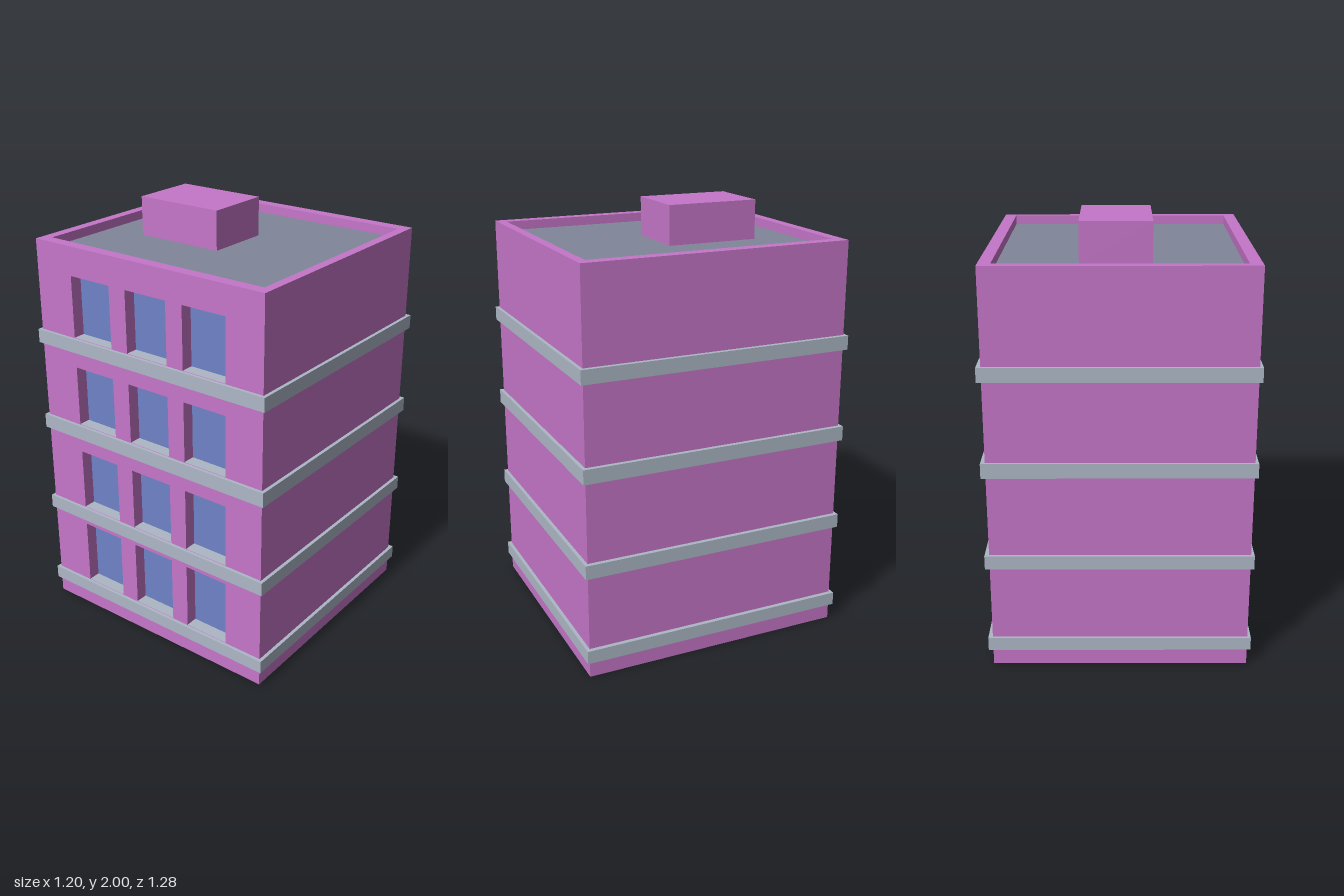
import * as THREE from 'three';

const mat = (name, color) => new THREE.MeshStandardMaterial({ name, color, side: THREE.DoubleSide });

// Plan outlines as [xMin, xMax, zMin, zMax]
const WALL = [-0.585, 0.58, -0.625, 0.622];
const LEDGE = [-0.6, 0.6, -0.638, 0.638];
const INNER = [-0.53, 0.525, -0.578, 0.58];
const BLOCK = [-0.142, 0.173, -0.385, 0.047];

const BANDS = [[0.08, 0.142], [0.495, 0.56], [0.935, 1.003], [1.37, 1.435]];
const LINTELS = [0.465, 0.862, 1.292, 1.727];
const WINDOWS = [-0.308, 0.008, 0.32]; // z centres
const HALF = 0.112, DEPTH = 0.058;
const TOP = 1.862, ROOF = 1.82;

// Corners in anticlockwise order seen from above
const corners = ([x0, x1, z0, z1], y) => [[x0, y, z1], [x1, y, z1], [x1, y, z0], [x0, y, z0]];

// Flat-shaded sheet from a list of four-cornered faces
function sheet(name, quads, material) {
  const pos = quads.flatMap(([a, b, c, d]) => [a, b, c, a, c, d].flat());
  const g = new THREE.BufferGeometry();
  g.setAttribute('position', new THREE.Float32BufferAttribute(pos, 3));
  g.computeVertexNormals();
  const m = new THREE.Mesh(g, material);
  m.name = name;
  return m;
}

// Faces joining successive rectangular outlines; sides: front, +x, back, -x
function loft(levels, sides = [0, 1, 2, 3]) {
  const rings = levels.map(([rect, y]) => corners(rect, y));
  const quads = [];
  for (let i = 0; i + 1 < rings.length; i++)
    for (const s of sides) {
      const t = (s + 1) % 4;
      quads.push([rings[i][s], rings[i][t], rings[i + 1][t], rings[i + 1][s]]);
    }
  return quads;
}

// Upright face looking towards -x
const panel = (x, y0, y1, z0, z1) => [[x, y0, z0], [x, y0, z1], [x, y1, z1], [x, y1, z0]];

export function createModel() {
  const pink = mat('pinkWall', 0xc676c9);
  const grey = mat('greyLedge', 0xadb8c6);
  const slate = mat('slateRoof', 0x80869a);
  const blue = mat('blueGlass', 0x6f82c8);
  const building = new THREE.Group();
  building.name = 'building';

  // Plinth below the first ledge
  building.add(sheet('plinth', loft([[WALL, 0], [WALL, BANDS[0][0]]]), pink));

  BANDS.forEach(([b0, b1], i) => {
    const storey = new THREE.Group();
    storey.name = 'storey' + (i + 1);
    const y1 = i < 3 ? BANDS[i + 1][0] : TOP;
    const lintel = LINTELS[i];

    // Projecting ledge
    storey.add(sheet('ledge', loft([[WALL, b0], [LEDGE, b0], [LEDGE, b1], [WALL, b1]]), grey));

    // Three plain walls, then the window wall with its openings
    const walls = loft([[WALL, b1], [WALL, y1]], [0, 1, 2]);
    const x = WALL[0], xi = x + DEPTH;
    walls.push(panel(x, lintel, y1, WALL[2], WALL[3]));
    let z = WALL[2];
    for (const c of WINDOWS) {
      walls.push(panel(x, b1, lintel, z, c - HALF));
      z = c + HALF;
    }
    walls.push(panel(x, b1, lintel, z, WALL[3]));
    storey.add(sheet('walls', walls, pink));

    // Recessed windows: reveals, grey sill and glass
    const reveals = [], sills = [], glass = [];
    for (const c of WINDOWS) {
      const z0 = c - HALF, z1 = c + HALF;
      reveals.push(
        [[x, b1, z0], [x, lintel, z0], [xi, lintel, z0], [xi, b1, z0]],
        [[x, b1, z1], [xi, b1, z1], [xi, lintel, z1], [x, lintel, z1]],
        [[x, lintel, z0], [x, lintel, z1], [xi, lintel, z1], [xi, lintel, z0]],
        [[x, b1, z0], [xi, b1, z0], [xi, b1, z1], [x, b1, z1]]);
      const ys = b1 + 0.003;
      sills.push([[x, ys, z0], [x, ys, z1], [xi, ys, z1], [xi, ys, z0]]);
      glass.push(panel(xi, b1, lintel, z0, z1));
    }
    storey.add(sheet('windowReveals', reveals, pink));
    storey.add(sheet('windowSills', sills, grey));
    storey.add(sheet('windowGlass', glass, blue));
    building.add(storey);
  });

  // Parapet rim, sunken roof and rooftop block
  building.add(sheet('parapet', loft([[WALL, TOP], [INNER, TOP], [INNER, ROOF]]), pink));
  building.add(sheet('roof', [corners(INNER, ROOF)], slate));
  const [x0, x1, z0, z1] = BLOCK;
  const block = new THREE.Mesh(new THREE.BoxGeometry(x1 - x0, 2 - ROOF, z1 - z0), pink);
  block.position.set((x0 + x1) / 2, (2 + ROOF) / 2, (z0 + z1) / 2);
  block.name = 'rooftopBlock';
  building.add(block);
  return building;
}
